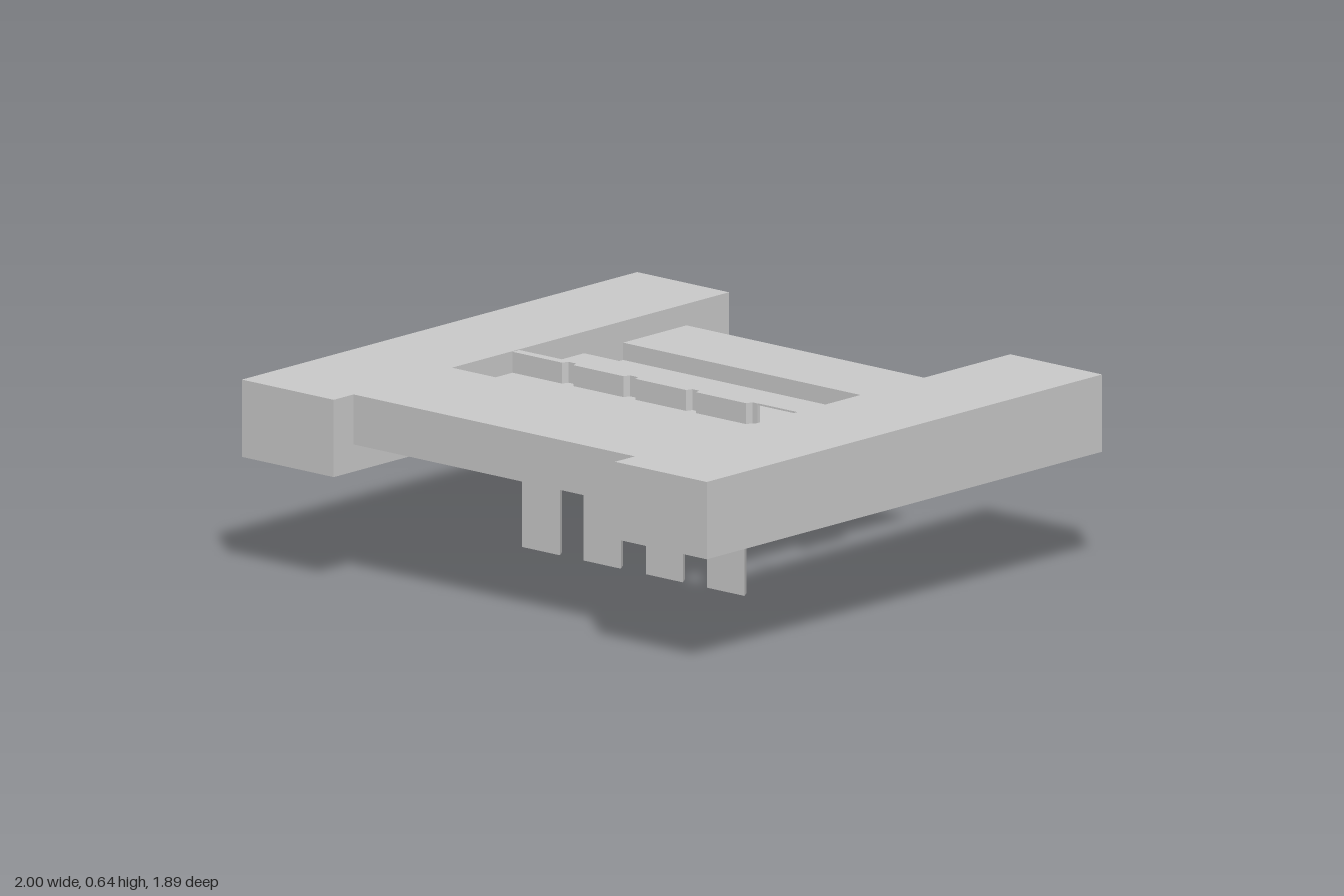
import * as THREE from 'three';

const material = new THREE.MeshStandardMaterial({ color: 0xcccccc, flatShading: true, side: THREE.DoubleSide });

export function createModel() {
  const model = new THREE.Group();

  const add = (name, geometry) => {
    const mesh = new THREE.Mesh(geometry, material);
    mesh.name = name;
    model.add(mesh);
  };

  // Box given by its limits on each axis
  const box = (name, [x0, x1], [y0, y1], [z0, z1]) => {
    const g = new THREE.BoxGeometry(x1 - x0, y1 - y0, z1 - z0);
    g.translate((x0 + x1) / 2, (y0 + y1) / 2, (z0 + z1) / 2);
    add(name, g);
  };

  // Upright prism whose plan is a list of [x, z] points
  const prism = (name, plan, y0, y1) => {
    const shape = new THREE.Shape(plan.map(([x, z]) => new THREE.Vector2(x, -z)));
    const g = new THREE.ExtrudeGeometry(shape, { depth: y1 - y0, bevelEnabled: false });
    g.rotateX(-Math.PI / 2);
    g.translate(0, y0, 0);
    add(name, g);
  };

  // Outer frame: two long side beams and a thinner front beam
  box('leftBeam', [0.605, 1], [0.39, 0.645], [-0.945, 0.945]);
  box('rightBeam', [-1, -0.605], [0.39, 0.645], [-0.945, 0.945]);
  box('frontBeam', [-0.605, 0.605], [0.48, 0.645], [0.38, 0.85]);

  // Thin deck folded down into a trough, drawn as a [z, y] profile
  const fold = [[-0.74, 0.572], [-0.44, 0.572], [-0.44, 0.515], [-0.25, 0.515], [-0.25, 0.572], [0.38, 0.572]];
  const x0 = -0.605, x1 = 0.43;
  for (let i = 0; i < fold.length - 1; i++) {
    const [za, ya] = fold[i], [zb, yb] = fold[i + 1];
    const t = 0.002;
    box('deckPanel', [x0, x1], [Math.min(ya, yb) - t, Math.max(ya, yb) + t], [za - t, zb + t]);
  }

  // Upright dividing sheet with a slim rail reaching the left beam
  box('dividerSheet', [x0, x1], [0.5, 0.643], [0.058, 0.068]);
  box('dividerRail', [x1, 0.605], [0.637, 0.643], [0.06, 0.066]);

  // Four hanging legs, each with a wider head plate in front
  const heads = [[-0.605, -0.392], [-0.343, -0.127], [-0.077, 0.142], [0.185, 0.4]];
  const legs = [[-0.58, -0.417], [-0.315, -0.155], [-0.048, 0.112], [0.215, 0.377]];
  legs.forEach(([a, b], i) => {
    prism('leg', [[a, 0.072], [b, 0.072], [b - 0.025, 0.034], [a + 0.025, 0.034]], 0, 0.635);
    box('legPad', [a, b], [0.33, 0.39], [0.07, 0.08]);
    const [c, d] = heads[i];
    prism('legHead', [[c, 0.09], [d, 0.09], [d + 0.008, 0.066], [Math.max(c - 0.008, x0), 0.066]], 0.39, 0.643);
  });

  return model;
}
